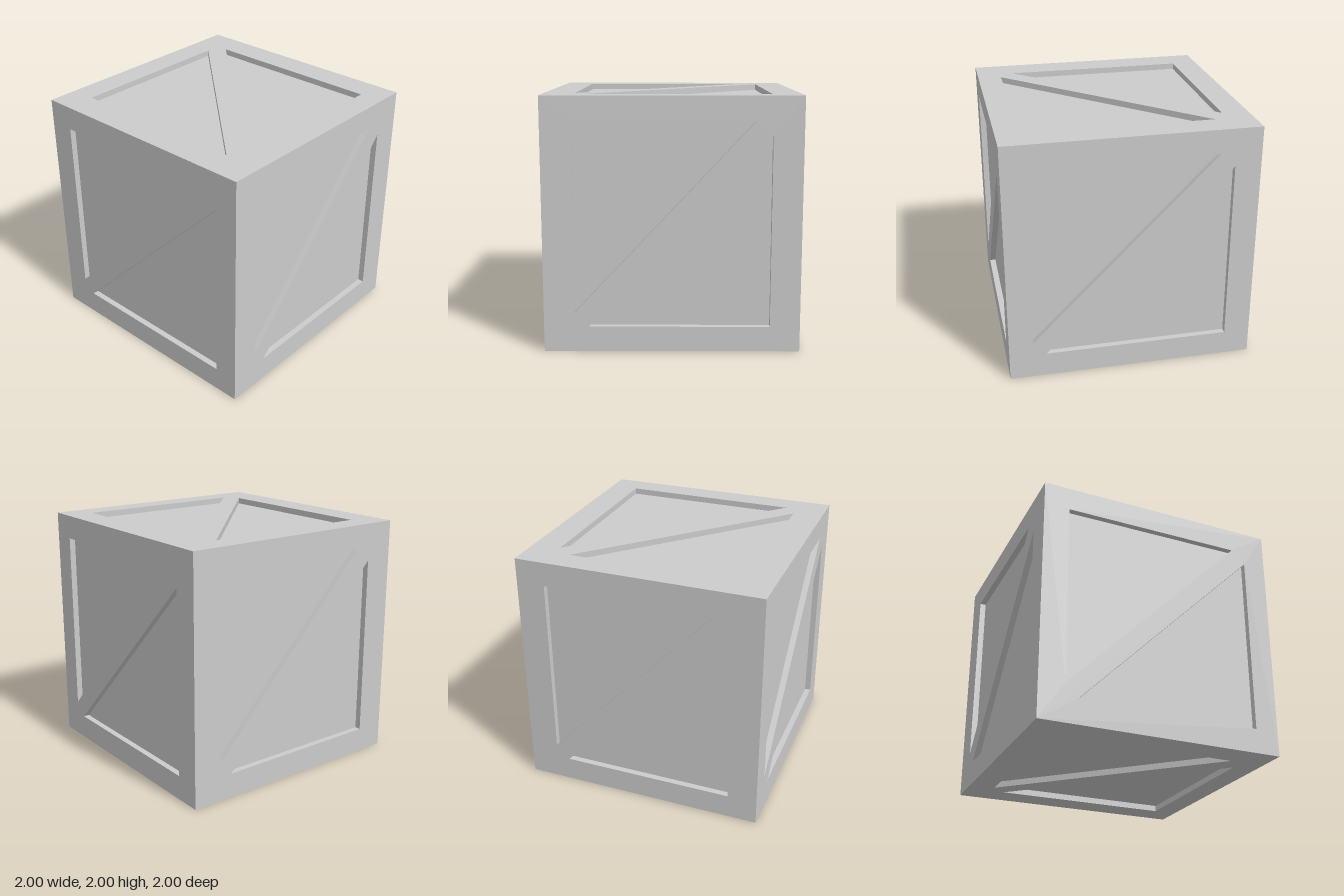
import * as THREE from 'three';

const DEPTH = 0.05; // how far the triangular panels are sunk

// Square frame with a diagonal brace: a plate with two triangular openings and mitred outer edges
function frameGeometry(triangles, shift) {
  const shape = new THREE.Shape([[-1, -1], [1, -1], [1, 1], [-1, 1]].map(([x, y]) => new THREE.Vector2(x, y)));
  for (const corners of triangles) {
    shape.holes.push(new THREE.Path(corners.map(([x, y]) => new THREE.Vector2(x + shift, y))));
  }
  const geometry = new THREE.ExtrudeGeometry(shape, { depth: DEPTH, bevelEnabled: false });
  geometry.translate(0, 0, 1 - DEPTH);
  // Pull the inner outline in so that neighbouring frames meet at 45 degrees
  const p = geometry.attributes.position;
  for (let i = 0; i < p.count; i++) {
    const outer = Math.max(Math.abs(p.getX(i)), Math.abs(p.getY(i))) > 0.99;
    if (outer && p.getZ(i) < 0.99) {
      p.setXY(i, p.getX(i) * (1 - DEPTH), p.getY(i) * (1 - DEPTH));
    }
  }
  geometry.computeVertexNormals();
  return geometry;
}

export function createModel() {
  const model = new THREE.Group();
  model.name = 'crate';
  const material = new THREE.MeshStandardMaterial({ color: 0xcccccc });

  // Openings, in each face's own coordinates
  const frontBack = [
    [[-0.79, -0.69], [-0.79, 0.805], [0.69, 0.805]],
    [[-0.69, -0.8], [0.805, -0.8], [0.805, 0.695]],
  ];
  const sides = [
    [[-0.76, -0.69], [-0.76, 0.805], [0.635, 0.805]],
    [[-0.65, -0.8], [0.765, -0.8], [0.765, 0.695]],
  ];
  const top = [
    [[-0.69, 0.77], [0.805, 0.77], [0.805, -0.66]],
    [[-0.79, 0.64], [-0.79, -0.755], [0.69, -0.755]],
  ];
  const bottom = [
    [[0.805, 0.63], [0.805, -0.765], [-0.675, -0.765]],
    [[0.705, 0.76], [-0.79, 0.76], [-0.79, -0.67]],
  ];

  // Sunken panels: one inner box shows through all the openings
  const size = 2 - 2 * DEPTH;
  const core = new THREE.Mesh(new THREE.BoxGeometry(size, size, size), material);
  core.name = 'sunkenPanels';
  core.position.y = 1;
  model.add(core);

  // Braced frames on the six faces
  const quarter = Math.PI / 2;
  const faces = [
    ['frontFrame', frontBack, 0, 0, 0],
    ['backFrame', frontBack, -0.015, 0, 2 * quarter],
    ['leftFrame', sides, 0, 0, quarter],
    ['rightFrame', sides, -0.005, 0, -quarter],
    ['topFrame', top, 0, -quarter, 0],
    ['bottomFrame', bottom, 0, quarter, 0],
  ];
  for (const [name, triangles, shift, rx, ry] of faces) {
    const frame = new THREE.Mesh(frameGeometry(triangles, shift), material);
    frame.name = name;
    frame.rotation.set(rx, ry, 0);
    frame.position.y = 1;
    model.add(frame);
  }
  return model;
}
